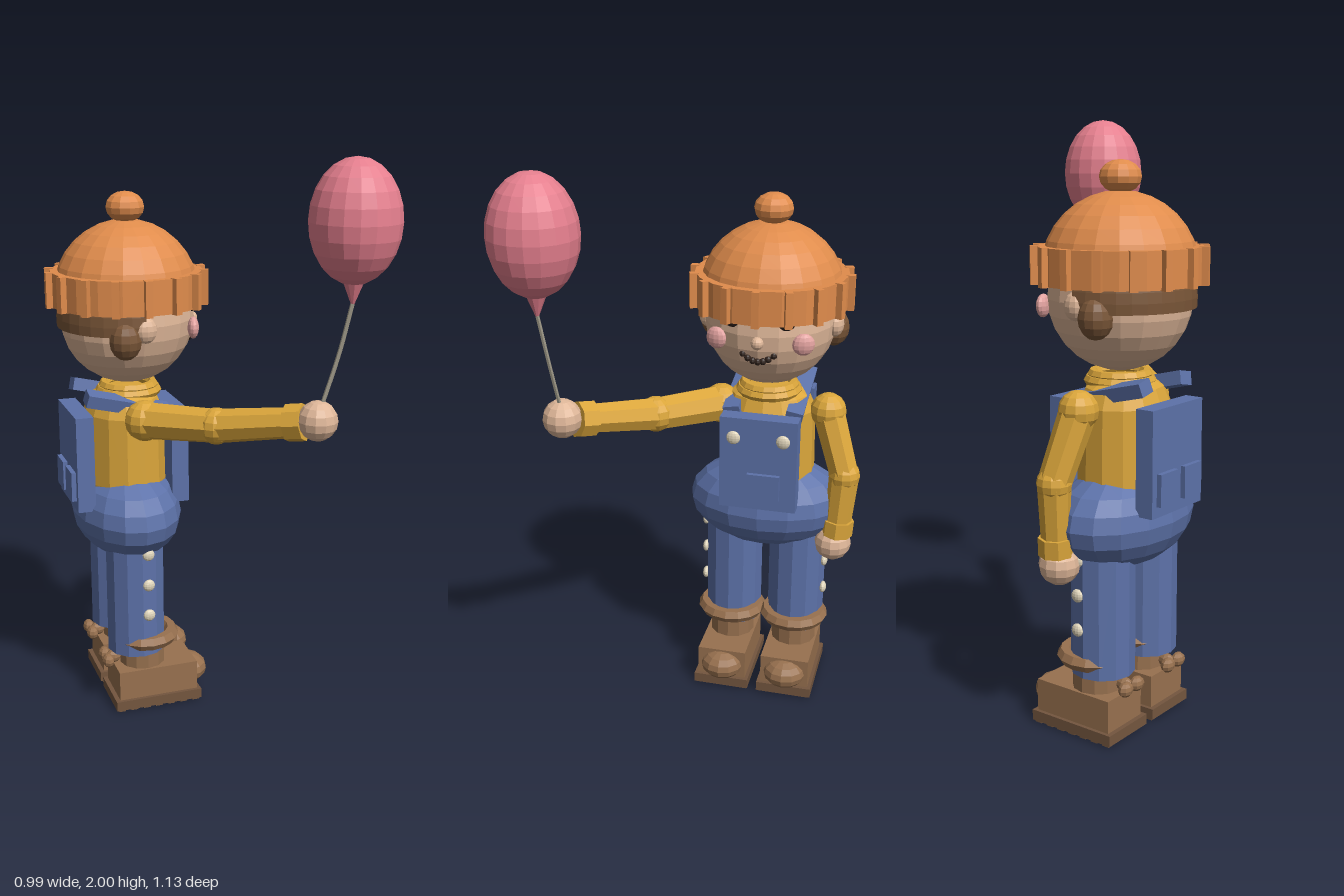
import * as THREE from 'three';

const mat = (color, side = THREE.FrontSide) => new THREE.MeshStandardMaterial({ color, flatShading: true, side });
const SKIN = mat(0xdfb799), BLUE = mat(0x5d72a9), YELLOW = mat(0xdba63b), BROWN = mat(0x98714f);
const SOLE = mat(0x74563f), HAIR = mat(0x7a5638, THREE.DoubleSide), HAT = mat(0xe08c4c), PINK = mat(0xe57f8e);
const CHEEK = mat(0xe3a3a0), CREAM = mat(0xe0d5bb), DARK = mat(0x33251f), STRING = mat(0xa39d8c);

// The figure is modelled facing +z, then turned to face +x
export function createModel() {
  const root = new THREE.Group();
  const figure = new THREE.Group();
  figure.name = 'figure';
  figure.rotation.y = Math.PI / 2;
  figure.position.set(-0.213, 0, -0.222);
  root.add(figure);

  const add = (name, geo, material, x = 0, y = 0, z = 0) => {
    const m = new THREE.Mesh(geo, material);
    m.name = name;
    m.position.set(x, y, z);
    figure.add(m);
    return m;
  };
  const ball = (name, material, x, y, z, rx, ry = rx, rz = rx, w = 12, h = 8) => {
    const m = add(name, new THREE.SphereGeometry(1, w, h), material, x, y, z);
    m.scale.set(rx, ry, rz);
    return m;
  };
  const box = (name, material, x, y, z, w, h, d) => add(name, new THREE.BoxGeometry(w, h, d), material, x, y, z);
  const cyl = (name, material, x, y, z, rt, rb, h, n = 12) =>
    add(name, new THREE.CylinderGeometry(rt, rb, h, n), material, x, y, z);
  const limb = (name, material, a, b, ra, rb) => {
    const d = b.clone().sub(a);
    const p = a.clone().add(b).multiplyScalar(0.5);
    const m = cyl(name, material, p.x, p.y, p.z, rb, ra, d.length(), 8);
    m.quaternion.setFromUnitVectors(new THREE.Vector3(0, 1, 0), d.normalize());
    return m;
  };

  // Head and face
  ball('head', SKIN, 0, 1.425, 0, 0.227, 0.23, 0.235, 20, 14);
  add('hair', new THREE.SphereGeometry(0.246, 16, 8, Math.PI, Math.PI, 0.6, 1.08), HAIR, 0, 1.425, 0);
  for (const s of [-1, 1]) {
    ball('hairBun', HAIR, s * 0.21, 1.385, -0.064, 0.056, 0.067, 0.056);
    ball('ear', SKIN, s * 0.225, 1.418, 0.002, 0.03, 0.045, 0.04);
    ball('eye', DARK, s * 0.09, 1.48, 0.205, 0.034, 0.034, 0.028);
    const cheek = ball('cheek', CHEEK, s * 0.148, 1.4, 0.195, 0.038, 0.038, 0.02);
    cheek.rotation.y = s * 0.3;
  }
  ball('nose', SKIN, 0, 1.405, 0.237, 0.022);
  for (let i = -3; i <= 3; i++) {
    ball('mouthBead', DARK, i * 0.0175, 1.335 + 0.0026 * i * i, 0.22 - 0.0008 * i * i, 0.012, 0.012, 0.012, 8, 6);
  }

  // Knitted hat
  add('hatDome', new THREE.SphereGeometry(0.252, 20, 8, 0, Math.PI * 2, 0, Math.PI / 2), HAT, 0, 1.51, 0);
  cyl('hatBand', HAT, 0, 1.531, 0, 0.265, 0.265, 0.118, 20);
  for (let i = 0; i < 16; i++) {
    const a = (i / 16) * Math.PI * 2;
    const rib = box('hatRib', HAT, Math.sin(a) * 0.27, 1.531, Math.cos(a) * 0.27, 0.025, 0.122, 0.03);
    rib.rotation.y = a;
  }
  ball('hatPompom', HAT, 0, 1.803, 0, 0.068, 0.053, 0.068);

  // Sweater torso and collar
  const profile = [[0, 1.18], [0.09, 1.175], [0.14, 1.145], [0.165, 1.09], [0.17, 0.84], [0.15, 0.72], [0, 0.7]];
  const torso = add('torso', new THREE.LatheGeometry(profile.map(p => new THREE.Vector2(...p)).reverse(), 14), YELLOW, 0, 0, -0.02);
  torso.scale.z = 0.86;
  [[0.088, 1.182], [0.1, 1.163]].forEach(([r, y]) => {
    add('collar', new THREE.TorusGeometry(r, 0.018, 6, 16).rotateX(Math.PI / 2), YELLOW, 0, y, 0);
  });

  // Overalls
  ball('trouserSeat', BLUE, 0, 0.72, -0.02, 0.288, 0.17, 0.193, 16, 10);
  box('bib', BLUE, 0, 0.936, 0.149, 0.275, 0.343, 0.062);
  box('bibPocket', BLUE, 0.022, 0.857, 0.185, 0.116, 0.095, 0.022);
  box('backPanel', BLUE, 0, 0.936, -0.195, 0.275, 0.343, 0.063);
  for (const s of [-1, 1]) {
    const strap = box('strap', BLUE, s * 0.11, 1.135, -0.035, 0.06, 0.045, 0.3);
    strap.rotation.x = 0.24;
    strap.rotation.z = -s * 0.2;
    ball('bibButton', CREAM, s * 0.088, 1.034, 0.182, 0.025, 0.025, 0.012);
    box('backPocket', BLUE, s * 0.066, 0.853, -0.233, 0.095, 0.105, 0.02);

    // Legs
    const x = s * 0.12;
    cyl('leg', BLUE, x, 0.425, -0.022, 0.106, 0.106, 0.42, 12);
    for (const y of [0.61, 0.493, 0.377]) ball('legButton', CREAM, s * 0.226, y, 0, 0.013, 0.022, 0.022);
    const cuff = add('ankleRing', new THREE.TorusGeometry(0.1, 0.026, 6, 16).rotateX(Math.PI / 2), BROWN, x, 0.262, 0.01);
    cuff.scale.x = 1.02;

    // Boots
    cyl('bootShaft', BROWN, x, 0.185, 0, 0.084, 0.084, 0.1, 12);
    box('bootBody', BROWN, x, 0.097, 0.037, 0.18, 0.112, 0.295);
    ball('bootToe', BROWN, x, 0.092, 0.168, 0.081, 0.056, 0.08);
    box('bootSole', SOLE, x, 0.025, 0.036, 0.205, 0.036, 0.325);
    for (let i = 0; i < 7; i++) box('soleTread', SOLE, x, 0.006, -0.105 + i * 0.047, 0.195, 0.012, 0.026);
    for (const k of [-1, 1]) ball('bootBow', BROWN, x + k * 0.03, 0.182, -0.137, 0.03, 0.025, 0.022, 8, 6);
    ball('bootBowKnot', BROWN, x, 0.182, -0.11, 0.024, 0.024, 0.03, 8, 6);
  }

  // Arms: one hanging, one reaching forward with the balloon
  const V = (x, y, z) => new THREE.Vector3(x, y, z);
  const arm = (shoulder, elbow, wrist, hand, r) => {
    ball('shoulder', YELLOW, ...shoulder, r * 1.08);
    limb('upperArm', YELLOW, shoulder, elbow, r, r * 0.9);
    ball('elbow', YELLOW, ...elbow, r * 0.95);
    limb('forearm', YELLOW, elbow, wrist, r * 0.9, r * 0.78);
    const dir = wrist.clone().sub(elbow).normalize().multiplyScalar(0.03);
    limb('sleeveCuff', YELLOW, wrist.clone().sub(dir), wrist.clone().add(dir), r * 0.96, r * 0.96);
    ball('hand', SKIN, ...hand, 0.067);
  };
  arm(V(0.215, 1.095, 0), V(0.288, 0.87, 0.04), V(0.274, 0.665, 0.046), V(0.26, 0.6, 0.045), 0.06);
  arm(V(-0.17, 1.09, 0.01), V(-0.36, 1.105, 0.205), V(-0.55, 1.15, 0.412), V(-0.607, 1.167, 0.464), 0.066);

  // Balloon on its string
  const bx = -0.638, bz = 0.557;
  ball('balloon', PINK, bx, 1.804, bz, 0.147, 0.196, 0.147, 18, 12);
  add('balloonKnot', new THREE.ConeGeometry(0.036, 0.09, 10).rotateX(Math.PI), PINK, bx, 1.578, bz);
  const path = new THREE.CatmullRomCurve3([V(-0.607, 1.18, 0.464), V(-0.622, 1.39, 0.525), V(bx, 1.55, bz)]);
  add('balloonString', new THREE.TubeGeometry(path, 10, 0.007, 6), STRING);

  return root;
}
